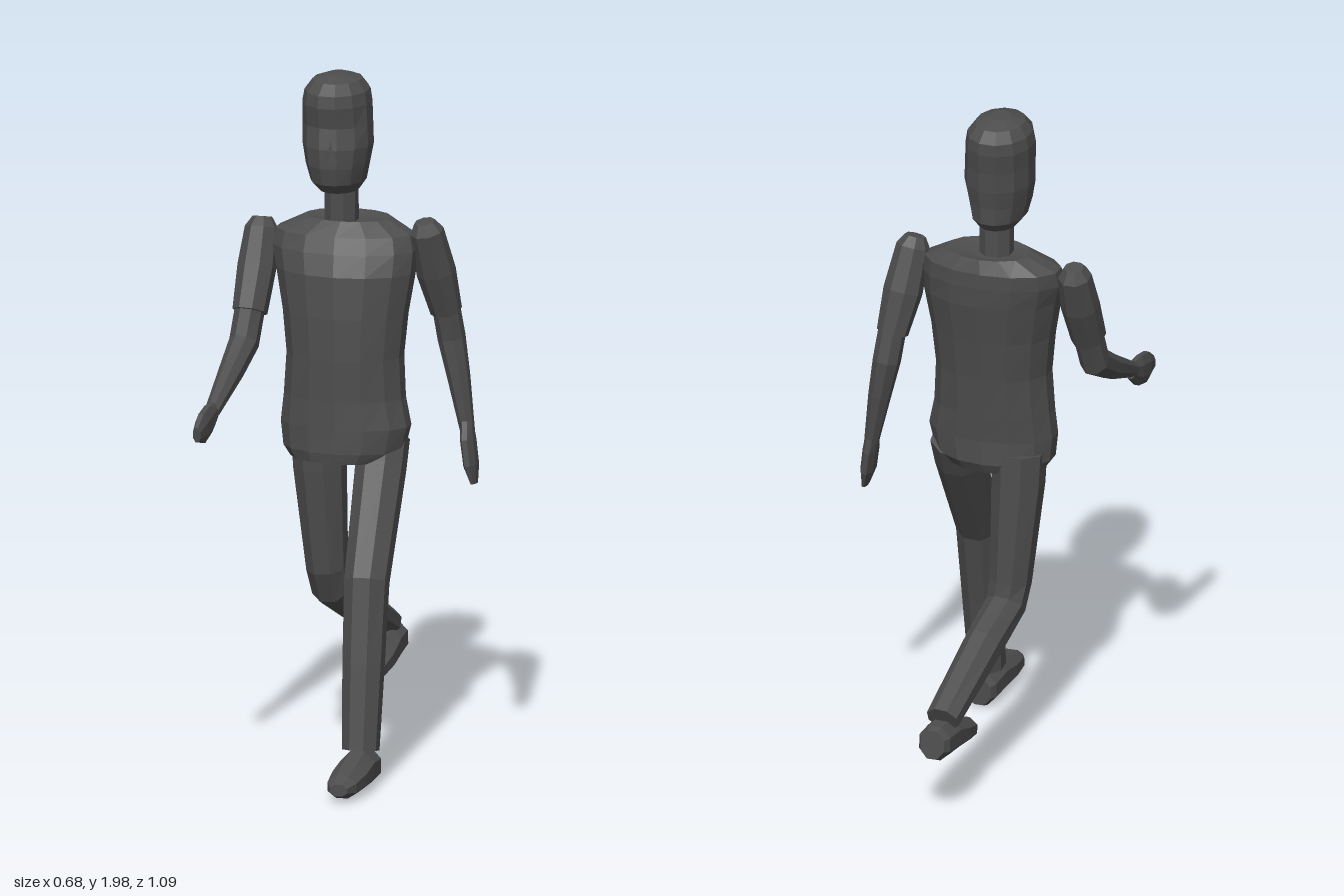
import * as THREE from 'three';

const charcoal = new THREE.MeshStandardMaterial({ color: 0x4d4d4d, flatShading: true });
charcoal.name = 'charcoal';

// Faceted loft. Each ring is [x, y, z, half width, half depth]; rings follow the path unless an axis is fixed.
function loft(name, rings, sides = 8, axis = null, shape = null) {
  const centres = rings.map(r => new THREE.Vector3(r[0], r[1], r[2]));
  const last = rings.length - 1;
  const grid = rings.map((r, i) => {
    const n = axis ? axis.clone() : new THREE.Vector3();
    if (!axis) {
      if (i > 0) n.add(centres[i].clone().sub(centres[i - 1]).normalize());
      if (i < last) n.add(centres[i + 1].clone().sub(centres[i]).normalize());
      n.normalize();
    }
    const u = new THREE.Vector3(1, 0, 0).addScaledVector(n, -n.x).normalize();
    const v = n.clone().cross(u);
    return Array.from({ length: sides }, (_, j) => {
      const t = (j + 0.5) / sides * Math.PI * 2;
      const p = centres[i].clone()
        .addScaledVector(u, Math.cos(t) * r[3])
        .addScaledVector(v, Math.sin(t) * r[4]);
      return shape ? shape(p, i) : p;
    });
  });
  const pos = [];
  const tri = (...pts) => pts.forEach(p => pos.push(p.x, p.y, p.z));
  for (let j = 0; j < sides; j++) {
    const k = (j + 1) % sides;
    for (let i = 0; i < last; i++) {
      tri(grid[i][j], grid[i][k], grid[i + 1][k]);
      tri(grid[i][j], grid[i + 1][k], grid[i + 1][j]);
    }
    tri(centres[0], grid[0][k], grid[0][j]);
    tri(centres[last], grid[last][j], grid[last][k]);
  }
  const geo = new THREE.BufferGeometry();
  geo.setAttribute('position', new THREE.Float32BufferAttribute(pos, 3));
  geo.computeVertexNormals();
  const mesh = new THREE.Mesh(geo, charcoal);
  mesh.name = name;
  return mesh;
}

// Shoe pointing along +z from its heel, pitched about the heel
function shoe(name, x, y, z, pitch) {
  const mesh = loft(name, [
    [0, 0.052, 0, 0.038, 0.045],
    [0, 0.053, 0.02, 0.05, 0.053],
    [0, 0.056, 0.10, 0.054, 0.057],
    [0, 0.045, 0.18, 0.055, 0.045],
    [0, 0.035, 0.26, 0.046, 0.034],
    [0, 0.032, 0.295, 0.027, 0.018],
  ], 8, new THREE.Vector3(0, 0, 1));
  mesh.position.set(x, y, z);
  mesh.rotation.x = pitch;
  return mesh;
}

export function createModel() {
  const model = new THREE.Group();
  model.name = 'walkingFigure';
  const up = new THREE.Vector3(0, 1, 0);

  // Torso in a loose shirt, with a slight ridge down the chest
  model.add(loft('torso', [
    [-0.025, 0.90, 0.035, 0.150, 0.105],
    [-0.020, 0.93, 0.030, 0.177, 0.115],
    [-0.015, 1.00, 0.030, 0.190, 0.112],
    [-0.020, 1.08, 0.025, 0.177, 0.115],
    [-0.020, 1.20, 0.020, 0.170, 0.122],
    [-0.022, 1.32, 0.010, 0.182, 0.128],
    [-0.025, 1.44, -0.005, 0.203, 0.133],
    [-0.032, 1.50, -0.020, 0.212, 0.122],
    [-0.035, 1.545, -0.032, 0.203, 0.110],
    [-0.028, 1.585, -0.042, 0.125, 0.085],
    [-0.035, 1.575, -0.035, 0.060, 0.055],
  ], 14, up));

  // Neck
  model.add(loft('neck', [
    [-0.045, 1.54, -0.03, 0.049, 0.049],
    [-0.045, 1.70, -0.025, 0.049, 0.049],
  ], 8, up));

  // Head with tapered jaw, flat brow and crown
  model.add(loft('head', [
    [-0.050, 1.665, -0.025, 0.055, 0.070],
    [-0.052, 1.695, -0.022, 0.078, 0.103],
    [-0.053, 1.745, -0.018, 0.090, 0.109],
    [-0.053, 1.800, -0.022, 0.100, 0.114],
    [-0.055, 1.860, -0.025, 0.099, 0.115],
    [-0.058, 1.920, -0.030, 0.098, 0.120],
    [-0.058, 1.955, -0.032, 0.092, 0.117],
    [-0.058, 1.985, -0.032, 0.070, 0.088],
    [-0.058, 2.000, -0.032, 0.030, 0.038],
  ], 12, up, (p, i) => {
    if (i === 4 && p.z > 0.05) p.z -= 0.010; // eye hollow
    return p;
  }));

  // Nose
  const nose = new THREE.Mesh(new THREE.ConeGeometry(0.022, 0.075, 4), charcoal);
  nose.name = 'nose';
  nose.position.set(-0.045, 1.80, 0.083);
  nose.rotation.x = -0.12;
  model.add(nose);

  // Right arm reaching forward: sleeve, forearm, hand
  model.add(loft('rightSleeve', [
    [-0.282, 1.565, -0.040, 0.028, 0.028],
    [-0.282, 1.535, -0.033, 0.048, 0.050],
    [-0.285, 1.430, 0.005, 0.056, 0.056],
    [-0.290, 1.310, 0.060, 0.050, 0.055],
  ]));
  model.add(loft('rightForearm', [
    [-0.290, 1.340, 0.045, 0.043, 0.046],
    [-0.300, 1.225, 0.085, 0.043, 0.046],
    [-0.307, 1.165, 0.190, 0.036, 0.038],
    [-0.315, 1.085, 0.360, 0.022, 0.022],
  ]));
  model.add(loft('rightHand', [
    [-0.315, 1.090, 0.340, 0.018, 0.025],
    [-0.318, 1.070, 0.390, 0.021, 0.046],
    [-0.319, 1.057, 0.450, 0.020, 0.048],
    [-0.320, 1.048, 0.500, 0.012, 0.024],
  ]));

  // Left arm hanging back: sleeve, forearm, hand
  model.add(loft('leftSleeve', [
    [0.200, 1.585, -0.025, 0.030, 0.028],
    [0.205, 1.555, -0.032, 0.049, 0.048],
    [0.222, 1.430, -0.070, 0.057, 0.054],
    [0.242, 1.310, -0.103, 0.046, 0.043],
  ]));
  model.add(loft('leftForearm', [
    [0.240, 1.340, -0.098, 0.040, 0.040],
    [0.253, 1.230, -0.119, 0.040, 0.043],
    [0.275, 1.120, -0.115, 0.033, 0.037],
    [0.304, 0.965, -0.105, 0.021, 0.024],
  ]));
  model.add(loft('leftHand', [
    [0.302, 0.990, -0.105, 0.018, 0.026],
    [0.310, 0.940, -0.092, 0.021, 0.046],
    [0.321, 0.870, -0.084, 0.020, 0.046],
    [0.331, 0.818, -0.080, 0.009, 0.026],
  ]));

  // Left leg striding forward
  model.add(loft('leftLeg', [
    [0.090, 0.960, 0.010, 0.076, 0.070],
    [0.093, 0.880, 0.050, 0.074, 0.070],
    [0.105, 0.590, 0.235, 0.065, 0.064],
    [0.109, 0.360, 0.282, 0.061, 0.057],
    [0.112, 0.120, 0.322, 0.054, 0.052],
  ]));
  model.add(shoe('leftShoe', 0.112, 0.012, 0.255, -0.03));

  // Right leg trailing with a bent knee
  model.add(loft('rightLeg', [
    [-0.105, 0.960, -0.005, 0.080, 0.076],
    [-0.103, 0.860, -0.008, 0.077, 0.074],
    [-0.088, 0.560, -0.030, 0.060, 0.062],
    [-0.082, 0.495, -0.052, 0.058, 0.056],
    [-0.068, 0.430, -0.200, 0.056, 0.058],
    [-0.040, 0.303, -0.462, 0.050, 0.042],
  ]));
  model.add(shoe('rightShoe', -0.035, 0.200, -0.540, 0.13));

  return model;
}
